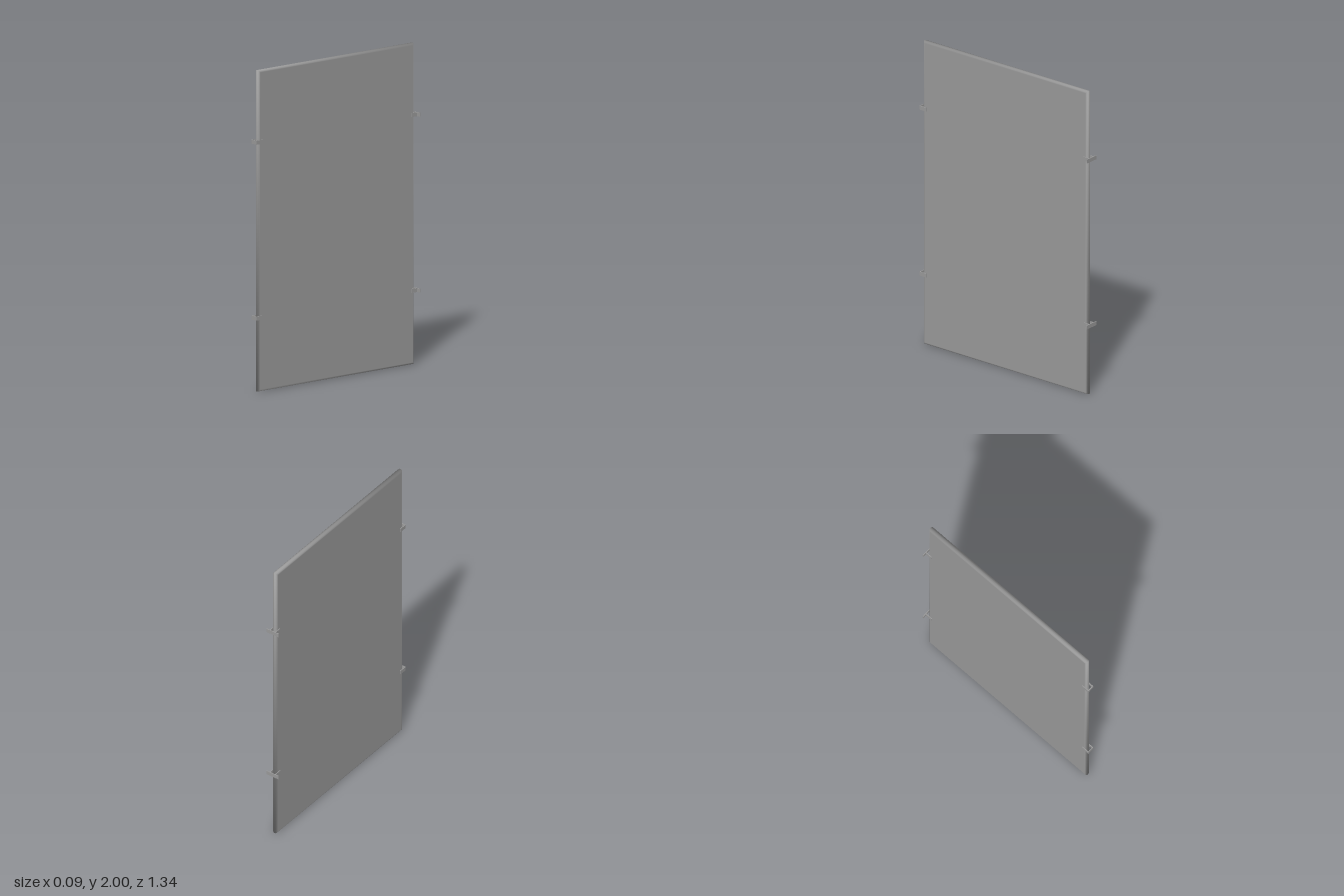
import * as THREE from 'three';

const material = new THREE.MeshStandardMaterial({ color: 0x9b9b9b });

function add(parent, name, geometry, x = 0, y = 0, z = 0) {
  const mesh = new THREE.Mesh(geometry, material);
  mesh.name = name;
  mesh.position.set(x, y, z);
  parent.add(mesh);
}

// Thin sheet with a half-round rim
function panelGeometry(width, height, thickness) {
  const w = width / 2, h = height / 2, half = thickness / 2, inset = 0.014, flat = 0.002;
  const shape = new THREE.Shape([
    new THREE.Vector2(-w, -h), new THREE.Vector2(w, -h),
    new THREE.Vector2(w, h), new THREE.Vector2(-w, h),
  ]);
  const geometry = new THREE.ExtrudeGeometry(shape, {
    depth: flat, bevelThickness: half - flat / 2,
    bevelSize: inset, bevelOffset: -inset, bevelSegments: 3,
  });
  geometry.translate(0, 0, -flat / 2).rotateY(Math.PI / 2);

  // Smooth normals around the rim, the two large faces stay flat
  const { position, normal } = geometry.attributes;
  const n = new THREE.Vector3();
  for (let i = 0; i < position.count; i++) {
    if (Math.abs(normal.getX(i)) > 0.99) continue;
    const across = THREE.MathUtils.clamp(position.getX(i) / half, -1, 1);
    const outward = Math.sqrt((1 - across * across) / 2);
    n.set(across, outward * Math.sign(position.getY(i)), outward * Math.sign(position.getZ(i)));
    normal.setXYZ(i, n.x, n.y, n.z);
  }
  return geometry;
}

// Strap bracket that wraps one edge of the panel; the outer face sits at z = 0.672
function bracket(name, baseHalfWidth) {
  const group = new THREE.Group();
  group.name = name;
  const height = 0.025, sheet = 0.005, outer = 0.672, inner = 0.62;
  add(group, 'bracketBase', new THREE.BoxGeometry(baseHalfWidth * 2, height, sheet), 0, 0, outer - sheet / 2);
  for (const side of [-1, 1]) {
    const length = outer - sheet - inner;
    add(group, 'bracketArm', new THREE.BoxGeometry(sheet, height, length), side * 0.02, 0, inner + length / 2);
  }
  return group;
}

export function createModel() {
  const model = new THREE.Group();
  model.name = 'panelWithBrackets';
  add(model, 'panel', panelGeometry(1.3, 2, 0.035), 0, 1, 0);

  // Plain clips in front, flanged wall brackets behind
  for (const y of [0.46, 1.554]) {
    const front = bracket('frontBracket', 0.0225);
    front.position.y = y;
    const back = bracket('backBracket', 0.046);
    back.position.y = y;
    back.rotation.y = Math.PI;
    model.add(front, back);
  }
  return model;
}
